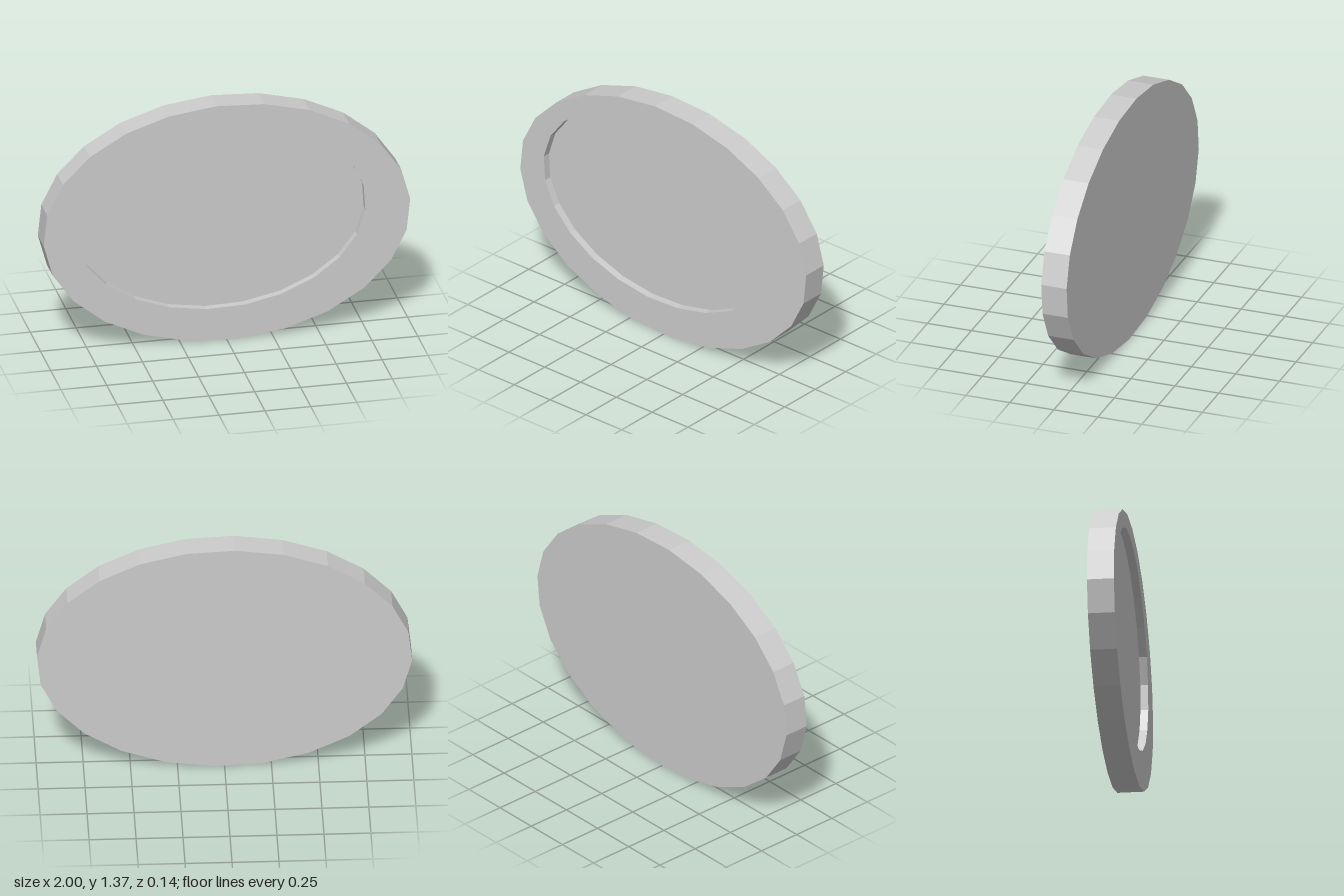
import * as THREE from 'three';

const SIDES = 24;
const HALF = 0.072; // half thickness
const FLOOR = 0.03; // z of the recess floor

// Loop of points around an ellipse, counter-clockwise seen from the front
function ellipseLoop(cx, cy, rx, ry, phaseDeg, z) {
  return Array.from({ length: SIDES }, (_, i) => {
    const a = (i / SIDES) * Math.PI * 2 + THREE.MathUtils.degToRad(phaseDeg);
    return [cx + rx * Math.cos(a), cy + ry * Math.sin(a), z];
  });
}

// Solid skin through successive loops, closed by a cap at each end
function loft(loops) {
  const pos = [];
  const tri = (a, b, c) => pos.push(...a, ...b, ...c);
  for (let k = 0; k < loops.length - 1; k++) {
    const p = loops[k], q = loops[k + 1];
    for (let i = 0; i < SIDES; i++) {
      const j = (i + 1) % SIDES;
      tri(p[i], p[j], q[j]);
      tri(p[i], q[j], q[i]);
    }
  }
  const first = loops[0], last = loops[loops.length - 1];
  for (let i = 1; i < SIDES - 1; i++) {
    tri(first[0], first[i + 1], first[i]);
    tri(last[0], last[i], last[i + 1]);
  }
  const geo = new THREE.BufferGeometry();
  geo.setAttribute('position', new THREE.Float32BufferAttribute(pos, 3));
  geo.computeVertexNormals();
  return geo;
}

export function createModel() {
  const group = new THREE.Group();
  group.name = 'ovalDish';
  const material = new THREE.MeshStandardMaterial({ color: 0xcccccc, flatShading: true });

  const outer = (z) => ellipseLoop(0, 0.687, 1, 0.687, 3.3, z);
  const inner = (z) => ellipseLoop(-0.04, 0.735, 0.797, 0.546, 10, z);

  // Back face, outer edge, front rim, recess wall and off-centre recess floor
  const dish = new THREE.Mesh(loft([outer(-HALF), outer(HALF), inner(HALF), inner(FLOOR)]), material);
  dish.name = 'recessedOvalPlate';
  group.add(dish);
  return group;
}
